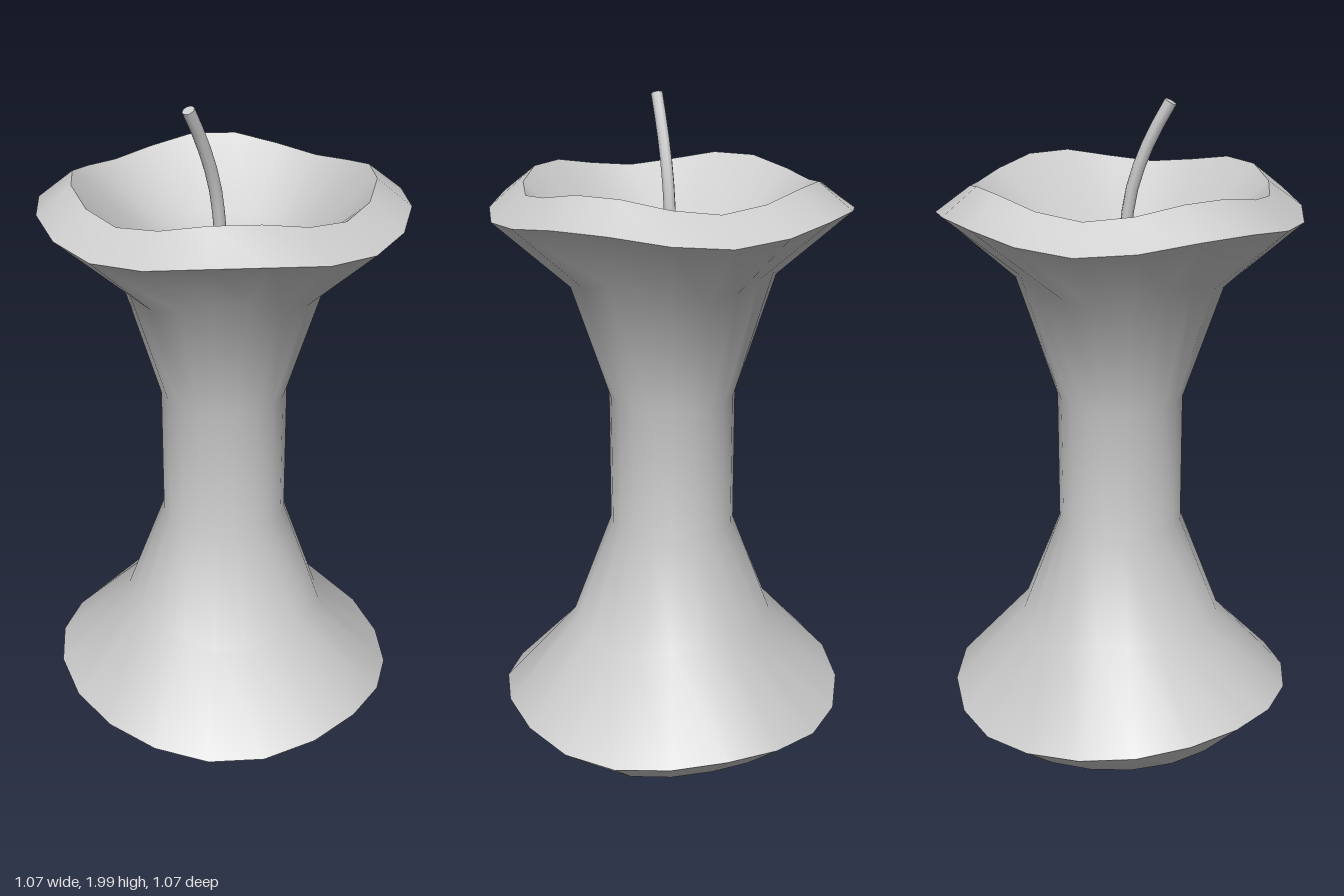
import * as THREE from 'three';
import { toCreasedNormals } from 'three/addons/utils/BufferGeometryUtils.js';

const SIDES = 20;

// Rings from bottom to top: radius, height, four-fold wave, bump on one corner
const RINGS = [
  [0, 0.14, 0, 0],
  [0.16, 0.12, 0, 0.02],
  [0.27, 0.015, -0.01, 0.05],
  [0.40, 0.03, -0.01, 0.03],
  [0.535, 0.145, -0.015, 0.07],
  [0.31, 0.39, -0.025, 0.03],
  [0.19, 0.72, 0, 0],
  [0.19, 1.13, 0, 0],
  [0.305, 1.5, 0.025, 0],
  [0.525, 1.693, 0.018, 0],
  [0.425, 1.767, 0.022, 0],
  [0.24, 1.6, 0.01, 0],
  [0, 1.5, 0, 0],
];

function makeCore() {
  const points = RINGS.map(([r, y]) => new THREE.Vector2(r, y));
  const geometry = new THREE.LatheGeometry(points, SIDES);
  const pos = geometry.attributes.position;
  for (let i = 0; i < pos.count; i++) {
    const [, y, wave, bump] = RINGS[i % RINGS.length];
    const angle = Math.floor(i / RINGS.length) * Math.PI * 2 / SIDES;
    const corner = Math.max(0, Math.cos(angle + Math.PI / 4)) ** 6;
    pos.setY(i, y - wave * Math.cos(4 * angle) + bump * corner);
  }
  return toCreasedNormals(geometry, 0.85);
}

export function createModel() {
  const group = new THREE.Group();
  group.name = 'appleCore';
  const material = new THREE.MeshStandardMaterial({ color: 0xcccccc });
  const add = (name, geometry) => {
    const mesh = new THREE.Mesh(geometry, material);
    mesh.name = name;
    group.add(mesh);
    return mesh;
  };

  // Eaten body with flared ends, hollow top and dimpled base
  add('core', makeCore());

  // Bent stem rising from the hollow
  const path = new THREE.CatmullRomCurve3([
    new THREE.Vector3(0, 1.48, 0),
    new THREE.Vector3(0, 1.74, 0.032),
    new THREE.Vector3(0, 1.88, 0.082),
    new THREE.Vector3(0, 1.992, 0.142),
  ]);
  add('stem', new THREE.TubeGeometry(path, 8, 0.018, 8));

  // Flat end of the stem
  const cap = add('stemTip', new THREE.CircleGeometry(0.018, 8));
  cap.position.copy(path.getPoint(1));
  cap.quaternion.setFromUnitVectors(new THREE.Vector3(0, 0, 1), path.getTangent(1));

  return group;
}
